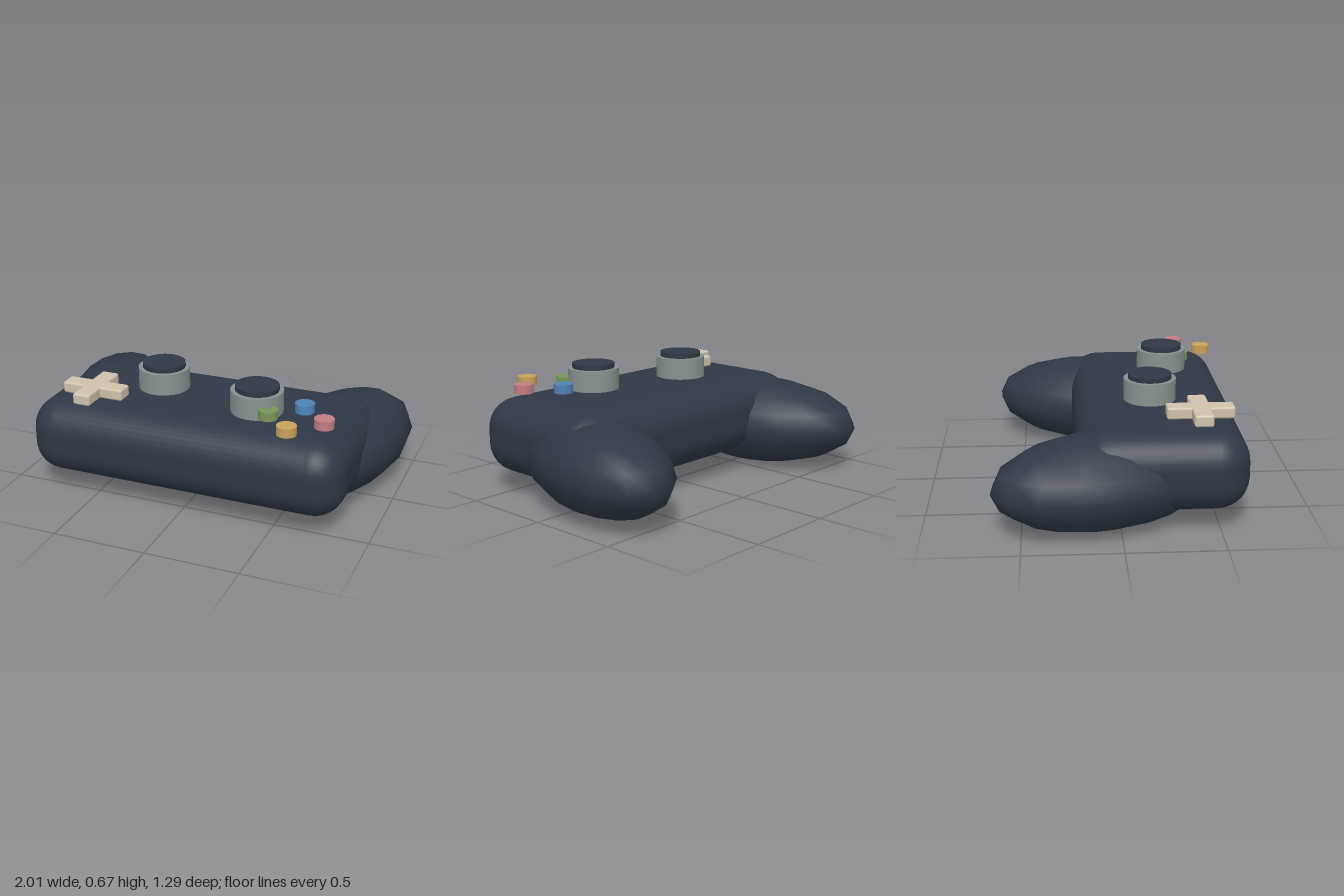
import * as THREE from 'three';
import { RoundedBoxGeometry } from 'three/addons/geometries/RoundedBoxGeometry.js';

function material(name, color) {
  const m = new THREE.MeshStandardMaterial({ color });
  m.name = name;
  return m;
}

export function createModel() {
  const model = new THREE.Group();
  model.name = 'gamepad';

  const shell = material('dark slate', 0x2e3845);
  const grey = material('warm grey', 0x87928f);
  const cream = material('cream', 0xd0c2ac);

  function add(name, geometry, mat, x, y, z, parent = model) {
    const mesh = new THREE.Mesh(geometry, mat);
    mesh.name = name;
    mesh.position.set(x, y, z);
    parent.add(mesh);
    return mesh;
  }

  // Main shell
  add('body', new RoundedBoxGeometry(1.73, 0.41, 0.86, 4, 0.165), shell, 0, 0.315, 0.213);

  // Hand grips: stretched spheres splayed outwards at the back
  for (const side of [-1, 1]) {
    const grip = add(side > 0 ? 'leftGrip' : 'rightGrip',
      new THREE.SphereGeometry(1, 16, 8), shell, 0.66 * side, 0.25, -0.08);
    grip.scale.set(0.315, 0.246, 0.59);
    grip.rotation.y = -0.292 * side;
  }

  // Thumbsticks: grey collar with a dark cap
  for (const [name, x, z] of [['rightThumbstick', -0.25, 0.18], ['leftThumbstick', 0.325, 0.297]]) {
    const stick = new THREE.Group();
    stick.name = name;
    stick.position.set(x, 0, z);
    model.add(stick);
    add('collar', new THREE.CylinderGeometry(0.138, 0.138, 0.116, 32), grey, 0, 0.595, 0, stick);
    add('cap', new THREE.CylinderGeometry(0.115, 0.115, 0.044, 32), shell, 0, 0.656, 0, stick);
  }

  // Direction pad: two crossed bars
  const pad = new THREE.Group();
  pad.name = 'directionPad';
  pad.position.set(-0.545, 0.564, 0.41);
  model.add(pad);
  add('crossBar', new RoundedBoxGeometry(0.345, 0.062, 0.097, 2, 0.012), cream, 0, 0, 0, pad);
  add('uprightBar', new RoundedBoxGeometry(0.097, 0.062, 0.345, 2, 0.012), cream, 0, 0, 0, pad);

  // Four face buttons in a diamond
  const buttons = [
    ['blue', 0x4d82b8, 0, -1], ['red', 0xc27d80, 1, 0],
    ['yellow', 0xcaa25a, 0, 1], ['green', 0x789657, -1, 0],
  ];
  for (const [name, color, dx, dz] of buttons) {
    add(name + 'Button', new THREE.CylinderGeometry(0.051, 0.051, 0.048, 20),
      material(name, color), 0.573 + dx * 0.147, 0.58, 0.413 + dz * 0.147);
  }

  return model;
}
